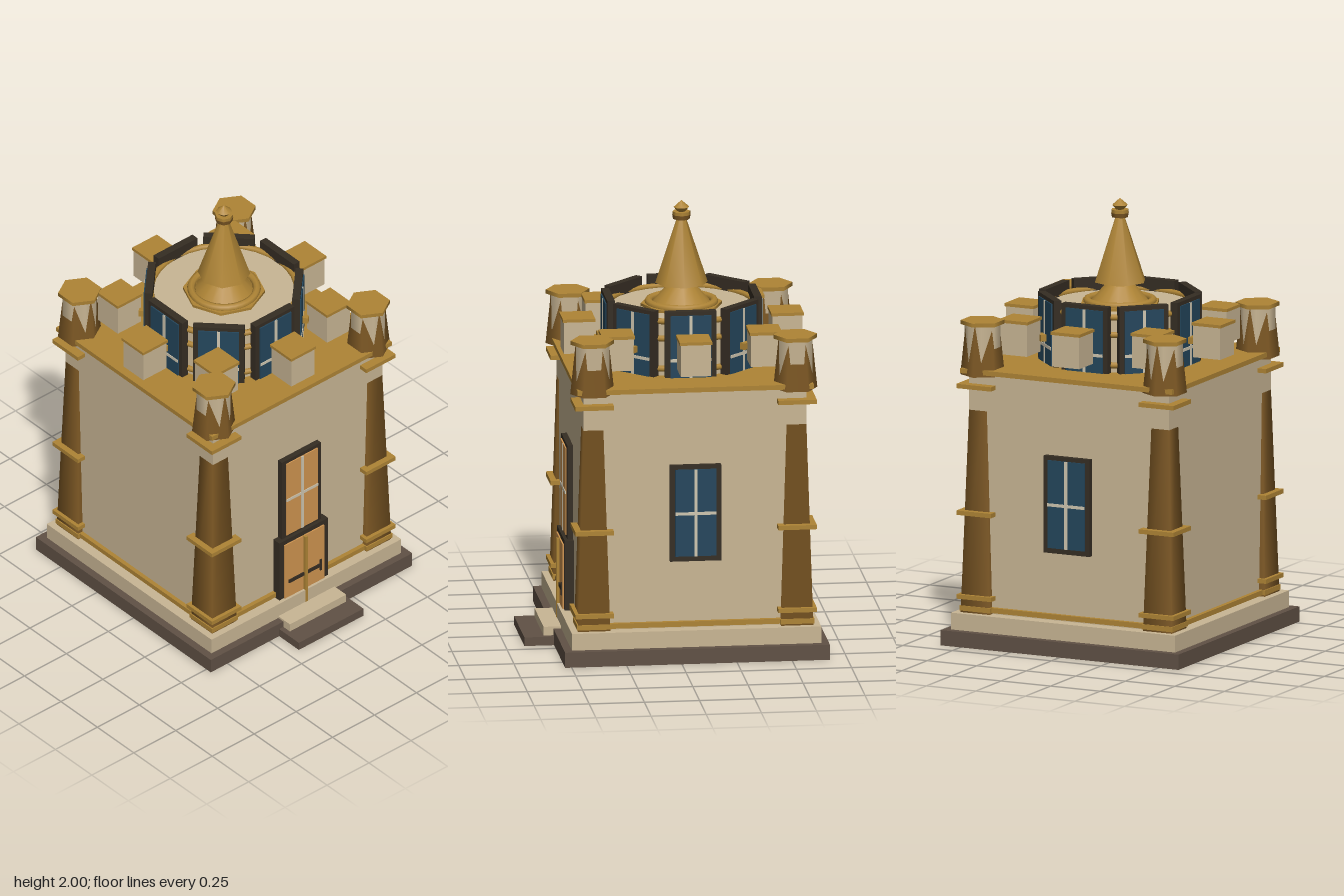
import * as THREE from 'three';

const mat = (name, color, flat = false) => {
  const m = new THREE.MeshStandardMaterial({ color, flatShading: flat });
  m.name = name;
  return m;
};

export function createModel() {
  const stone = mat('stone', 0xc9b694);
  const gold = mat('gold', 0xae8435);
  const bronze = mat('bronze', 0x7d5824);
  const dark = mat('dark frame', 0x352d23);
  const base = mat('base stone', 0x605145);
  const blue = mat('blue glass', 0x24465c);
  const orange = mat('warm glass', 0xcf9450);
  const bar = mat('glazing bar', 0xcfc6b0);

  const model = new THREE.Group();
  model.name = 'tower';
  const tower = new THREE.Group();
  tower.name = 'building';
  tower.position.z = -0.07;
  model.add(tower);

  const put = (parent, name, geo, m, x, y, z) => {
    const mesh = new THREE.Mesh(geo, m);
    mesh.name = name;
    mesh.position.set(x, y, z);
    parent.add(mesh);
    return mesh;
  };
  // box given by its bottom and top heights
  const block = (parent, name, m, w, y0, y1, d, x = 0, z = 0) =>
    put(parent, name, new THREE.BoxGeometry(w, y1 - y0, d), m, x, (y0 + y1) / 2, z);
  // tapered prism given by its bottom and top heights
  const prism = (parent, name, m, r0, r1, y0, y1, sides, turn = 0, x = 0, z = 0) => {
    const g = new THREE.CylinderGeometry(r1, r0, y1 - y0, sides);
    g.rotateY(turn);
    return put(parent, name, g, m, x, (y0 + y1) / 2, z);
  };

  // plinth, steps, walls and roof slab
  block(tower, 'base', base, 1.2, 0, 0.07, 1.2);
  block(tower, 'plinth', stone, 1.13, 0.07, 0.147, 1.13);
  block(tower, 'lowerStep', base, 0.385, 0, 0.04, 0.235, 0, 0.6175);
  block(tower, 'upperStep', stone, 0.335, 0.04, 0.08, 0.145, 0, 0.5725);
  block(tower, 'walls', stone, 1.01, 0.147, 1.245, 1.01);
  block(tower, 'skirting', gold, 1.05, 0.155, 0.178, 1.05);
  block(tower, 'roofSlab', gold, 1.07, 1.245, 1.267, 1.07);

  // framed window facing outward at a given angle, frame front at distance dist
  const addWindow = (name, angle, dist, y0, y1, glass) => {
    const g = new THREE.Group();
    g.name = name;
    g.rotation.y = angle;
    tower.add(g);
    const h = y1 - y0, mid = (y0 + y1) / 2;
    block(g, 'frame', dark, 0.232, y0, y1, 0.035, 0, dist - 0.0175);
    block(g, 'pane', glass, 0.186, mid - h / 2 + 0.024, mid + h / 2 - 0.018, 0.008, 0, dist + 0.002);
    block(g, 'uprightBar', bar, 0.014, y0 + 0.024, y1 - 0.018, 0.006, 0, dist + 0.006);
    block(g, 'crossBar', bar, 0.186, mid - 0.007, mid + 0.007, 0.006, 0, dist + 0.006);
    return g;
  };
  addWindow('frontWindow', 0, 0.531, 0.46, 0.905, orange);
  addWindow('sideWindow', Math.PI / 2, 0.531, 0.46, 0.905, blue);
  addWindow('backWindow', Math.PI, 0.531, 0.46, 0.905, blue);

  // double door
  const door = new THREE.Group();
  door.name = 'door';
  tower.add(door);
  block(door, 'doorFrame', dark, 0.29, 0.147, 0.47, 0.045, 0, 0.524);
  block(door, 'doorLeaves', orange, 0.235, 0.147, 0.447, 0.008, 0, 0.549);
  block(door, 'doorSeam', gold, 0.013, 0.08, 0.447, 0.02, 0, 0.557);
  block(door, 'doorBar', dark, 0.19, 0.226, 0.244, 0.006, 0, 0.555);
  block(door, 'doorBarEnd', dark, 0.01, 0.205, 0.265, 0.006, 0.095, 0.555);

  // corner columns with bands and turrets
  for (const sx of [-1, 1]) for (const sz of [-1, 1]) {
    const c = new THREE.Group();
    c.name = 'cornerTurret';
    c.position.set(sx * 0.46, 0, sz * 0.46);
    tower.add(c);
    prism(c, 'column', bronze, 0.073 * Math.SQRT2, 0.04 * Math.SQRT2, 0.147, 1.24, 4, Math.PI / 4);
    block(c, 'footBand', gold, 0.155, 0.155, 0.178, 0.155);
    for (const y of [0.22, 0.605, 1.187])
      block(c, 'band', gold, 0.175, y - 0.01, y + 0.01, 0.175);
    prism(c, 'turretSkirt', bronze, 0.1, 0.076, 1.235, 1.465, 6);
    prism(c, 'turretBody', stone, 0.0815, 0.0815, 1.25, 1.465, 8, Math.PI / 8);
    prism(c, 'turretCap', gold, 0.099, 0.099, 1.465, 1.483, 6);
  }

  // drum with rings, eight windows and a ring of merlons
  prism(tower, 'drum', stone, 0.328, 0.328, 1.26, 1.515, 16);
  for (const y of [1.3, 1.44, 1.52]) {
    const g = new THREE.TorusGeometry(0.33, 0.014, 8, 32);
    g.rotateX(Math.PI / 2);
    put(tower, 'drumRing', g, gold, 0, y, 0);
  }
  for (let i = 0; i < 8; i++) {
    const a = i * Math.PI / 4;
    const w = addWindow('drumWindow', a, 0.35, 1.125, 1.572, blue);
    block(w, 'bracket', gold, 0.054, 1.37, 1.4, 0.03, 0, 0.368);
    const x = Math.sin(a) * 0.472, z = Math.cos(a) * 0.472;
    block(tower, 'merlon', stone, 0.137, 1.32, 1.466, 0.137, x, z);
    block(tower, 'merlonCap', gold, 0.147, 1.466, 1.48, 0.147, x, z);
  }

  // spire foot, cone and finial
  prism(tower, 'spireFoot', gold, 0.185, 0.185, 1.51, 1.528, 8);
  const ring = new THREE.TorusGeometry(0.148, 0.018, 8, 32);
  ring.rotateX(Math.PI / 2);
  put(tower, 'spireRing', ring, gold, 0, 1.532, 0);
  prism(tower, 'spireNeck', gold, 0.135, 0.065, 1.525, 1.608, 16);
  prism(tower, 'spireCone', gold, 0.119, 0.012, 1.62, 1.945, 8);
  prism(tower, 'finialCollar', bronze, 0.038, 0.042, 1.915, 1.935, 8);
  prism(tower, 'finialCollarTop', gold, 0.04, 0.04, 1.935, 1.95, 8);
  prism(tower, 'finialLower', gold, 0.018, 0.036, 1.95, 1.97, 8);
  prism(tower, 'finialTip', gold, 0.036, 0.002, 1.97, 2.0, 8);

  return model;
}
